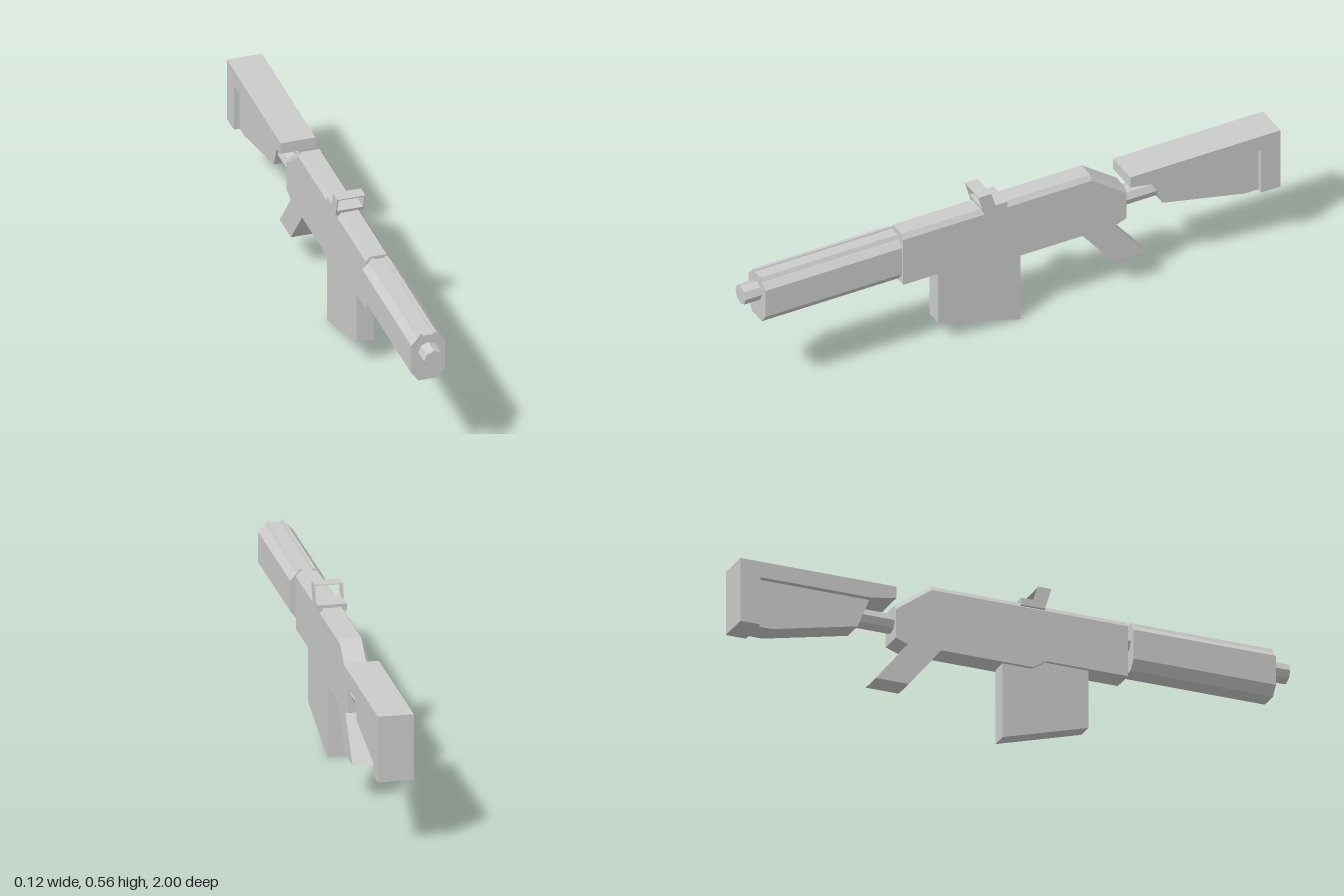
import * as THREE from 'three';

const material = new THREE.MeshStandardMaterial({ color: 0xcccccc, flatShading: true });

const shapeOf = (points) => new THREE.Shape(points.map(([x, y]) => new THREE.Vector2(x, y)));

// Front outline [x, y], extruded between two z positions
function alongZ(shape, z0, z1) {
  return new THREE.ExtrudeGeometry(shape, { depth: z1 - z0, bevelEnabled: false }).translate(0, 0, z0);
}

// Side outline [z, y], extruded evenly to both sides of x = 0
function sidePlate(points, halfWidth) {
  return new THREE.ExtrudeGeometry(shapeOf(points), { depth: halfWidth * 2, bevelEnabled: false })
    .translate(0, 0, -halfWidth)
    .rotateY(-Math.PI / 2);
}

// Octagonal rod with a corner facing up
function rod(radius, y, z0, z1) {
  return new THREE.CylinderGeometry(radius, radius, z1 - z0, 8)
    .rotateX(Math.PI / 2)
    .translate(0, y, (z0 + z1) / 2);
}

// Skin equal-length rings ordered from front to back, closed at both ends
function loft(rings) {
  const n = rings[0].length;
  const index = [];
  for (let r = 0; r < rings.length - 1; r++) {
    for (let i = 0; i < n; i++) {
      const a = r * n + i, b = r * n + (i + 1) % n;
      index.push(a, a + n, b + n, a, b + n, b);
    }
  }
  const last = (rings.length - 1) * n;
  for (let i = 1; i < n - 1; i++) index.push(0, i, i + 1, last, last + i + 1, last + i);
  const geometry = new THREE.BufferGeometry();
  geometry.setAttribute('position', new THREE.Float32BufferAttribute(rings.flat(2), 3));
  geometry.setIndex(index);
  const flat = geometry.toNonIndexed();
  flat.computeVertexNormals();
  return flat;
}

export function createModel() {
  const model = new THREE.Group();
  const add = (name, geometry, parent = model) => {
    const mesh = new THREE.Mesh(geometry, material);
    mesh.name = name;
    parent.add(mesh);
  };

  // Barrel, running through the handguard into the receiver
  add('barrel', rod(0.035, 0.438, 0.38, 1));

  // Handguard with two raised rails along its top
  const half = [[0.034, 0.33], [0.059, 0.363], [0.059, 0.469], [0.039, 0.49],
    [0.037, 0.491], [0.029, 0.506], [0.019, 0.506], [0.017, 0.5]];
  const mirrored = half.map(([x, y]) => [-x, y]).reverse();
  add('handguard', alongZ(shapeOf([...half, ...mirrored]), 0.423, 0.938));

  // Receiver: chamfered top, stepped underside, sloping rear [z, bottom, top]
  const sections = [[0.41, 0.303, 0.504], [0.115, 0.303, 0.504], [0.067, 0.272, 0.504],
    [-0.3, 0.272, 0.504], [-0.385, 0.272, 0.442], [-0.43, 0.288, 0.41]];
  add('receiver', loft(sections.map(([z, b, t]) => [
    [-0.042, b, z], [0.042, b, z], [0.042, t - 0.018, z],
    [0.03, t, z], [-0.03, t, z], [-0.042, t - 0.018, z],
  ])));

  add('grip', sidePlate([[-0.25, 0.29], [-0.265, 0.272], [-0.383, 0.127],
    [-0.502, 0.127], [-0.385, 0.272], [-0.37, 0.29]], 0.0418));

  add('magazine', sidePlate([[0.273, 0.33], [0.273, 0.094], [-0.038, 0.002], [-0.038, 0.33]], 0.03));

  // Sight: a base clamp with a forward-leaning open frame
  const sight = new THREE.Group();
  sight.name = 'sight';
  model.add(sight);
  add('sightBase', new THREE.BoxGeometry(0.098, 0.025, 0.088).translate(0, 0.5025, 0.065), sight);
  const frame = shapeOf([[-0.049, 0.49], [0.049, 0.49], [0.049, 0.567], [-0.049, 0.567]]);
  frame.holes.push(new THREE.Path([[-0.045, 0.515], [-0.045, 0.563], [0.045, 0.563], [0.045, 0.515]]
    .map(([x, y]) => new THREE.Vector2(x, y))));
  const lean = new THREE.Matrix4().set(1, 0, 0, 0, 0, 1, 0, 0, 0, 0.3, 1, -0.3 * 0.5, 0, 0, 0, 1);
  add('sightFrame', alongZ(frame, 0.062, 0.11).applyMatrix4(lean), sight);

  // Stock: wide top bar and butt plate around a narrower filler, on a tube
  const stock = new THREE.Group();
  stock.name = 'stock';
  model.add(stock);
  add('stockTube', rod(0.035, 0.355, -0.6, -0.42), stock);
  add('stockFrame', sidePlate([[-0.435, 0.465], [-0.435, 0.424], [-0.525, 0.408], [-0.927, 0.408],
    [-0.927, 0.235], [-1, 0.235], [-1, 0.465]], 0.061), stock);
  add('stockFiller', sidePlate([[-0.525, 0.415], [-0.525, 0.408], [-0.567, 0.304], [-0.877, 0.236],
    [-0.94, 0.236], [-0.94, 0.415]], 0.041), stock);

  return model;
}
